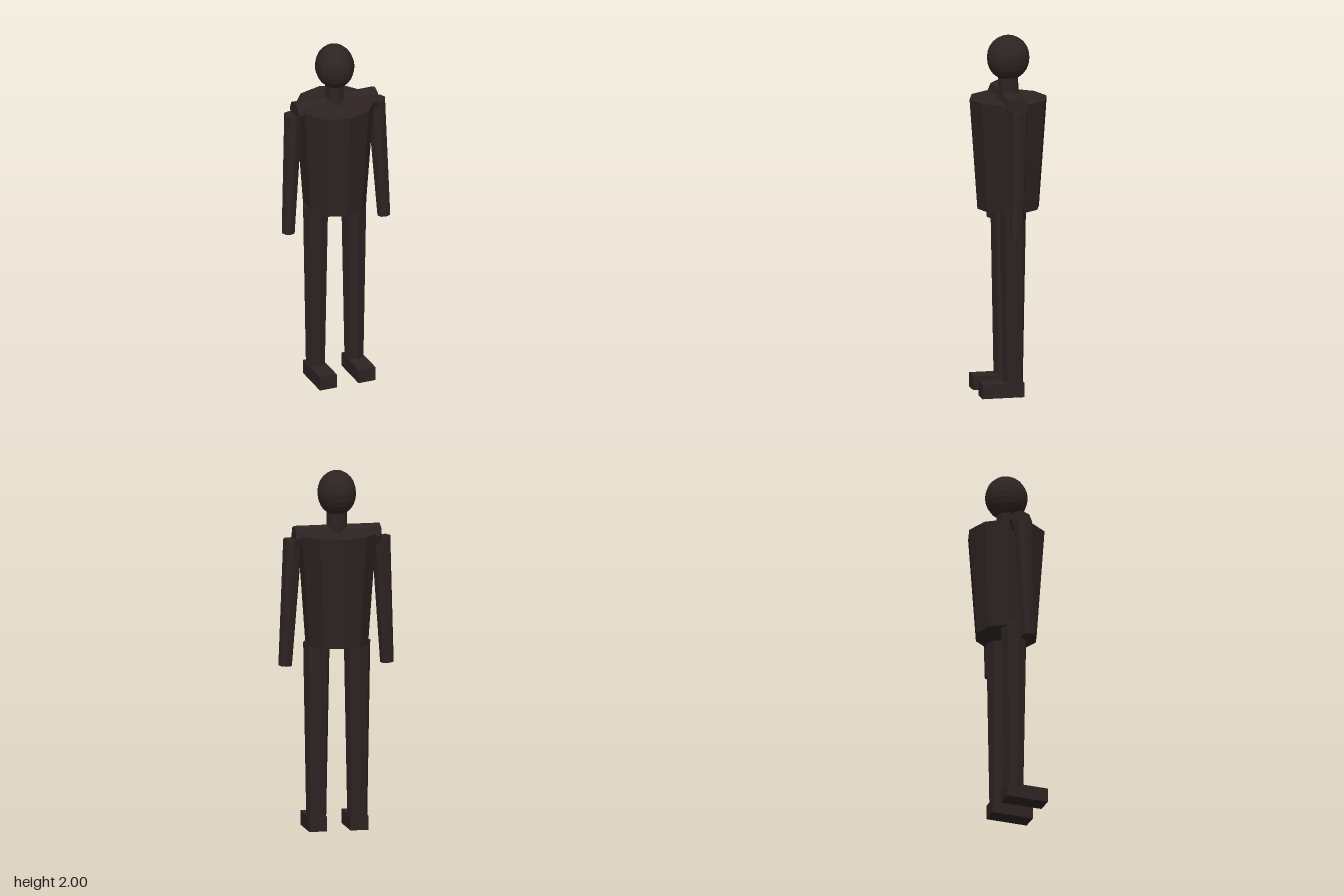
import * as THREE from 'three';

export function createModel() {
  const figure = new THREE.Group();
  figure.name = 'figure';
  const darkBrown = new THREE.MeshStandardMaterial({ color: 0x2d2322 });
  darkBrown.name = 'dark brown';
  darkBrown.flatShading = true;

  const add = (name, geometry) => {
    const mesh = new THREE.Mesh(geometry, darkBrown);
    mesh.name = name;
    figure.add(mesh);
    return mesh;
  };

  // Tapered prism running between two centre points
  const up = new THREE.Vector3(0, 1, 0);
  const limb = (name, top, bottom, rTop, rBottom, sides = 8) => {
    const a = new THREE.Vector3(...top);
    const b = new THREE.Vector3(...bottom);
    const axis = a.clone().sub(b);
    const mesh = add(name, new THREE.CylinderGeometry(rTop, rBottom, axis.length(), sides));
    mesh.position.copy(a).add(b).multiplyScalar(0.5);
    mesh.quaternion.setFromUnitVectors(up, axis.normalize());
    return mesh;
  };

  // Head, neck, torso and shoulder bar
  const head = add('head', new THREE.SphereGeometry(1, 16, 12));
  head.scale.set(0.107, 0.125, 0.119);
  head.position.y = 1.875;
  limb('neck', [0, 1.78, 0], [0, 1.64, 0], 0.056, 0.058);
  limb('torso', [0, 1.65, 0], [0, 1.034, 0], 0.217, 0.173, 10);
  limb('shoulders', [0.24, 1.637, 0], [-0.24, 1.637, 0], 0.062, 0.062);

  // Mirrored arms, legs and feet
  for (const [side, s] of [['left', 1], ['right', -1]]) {
    limb(side + 'Arm', [s * 0.247, 1.625, 0], [s * 0.285, 0.92, 0.019], 0.053, 0.038);
    limb(side + 'Leg', [s * 0.114, 1.05, 0], [s * 0.115, 0.07, 0], 0.074, 0.056);
    const foot = add(side + 'Foot', new THREE.BoxGeometry(0.1, 0.08, 0.236));
    foot.position.set(s * 0.115, 0.04, 0.063);
  }
  return figure;
}
